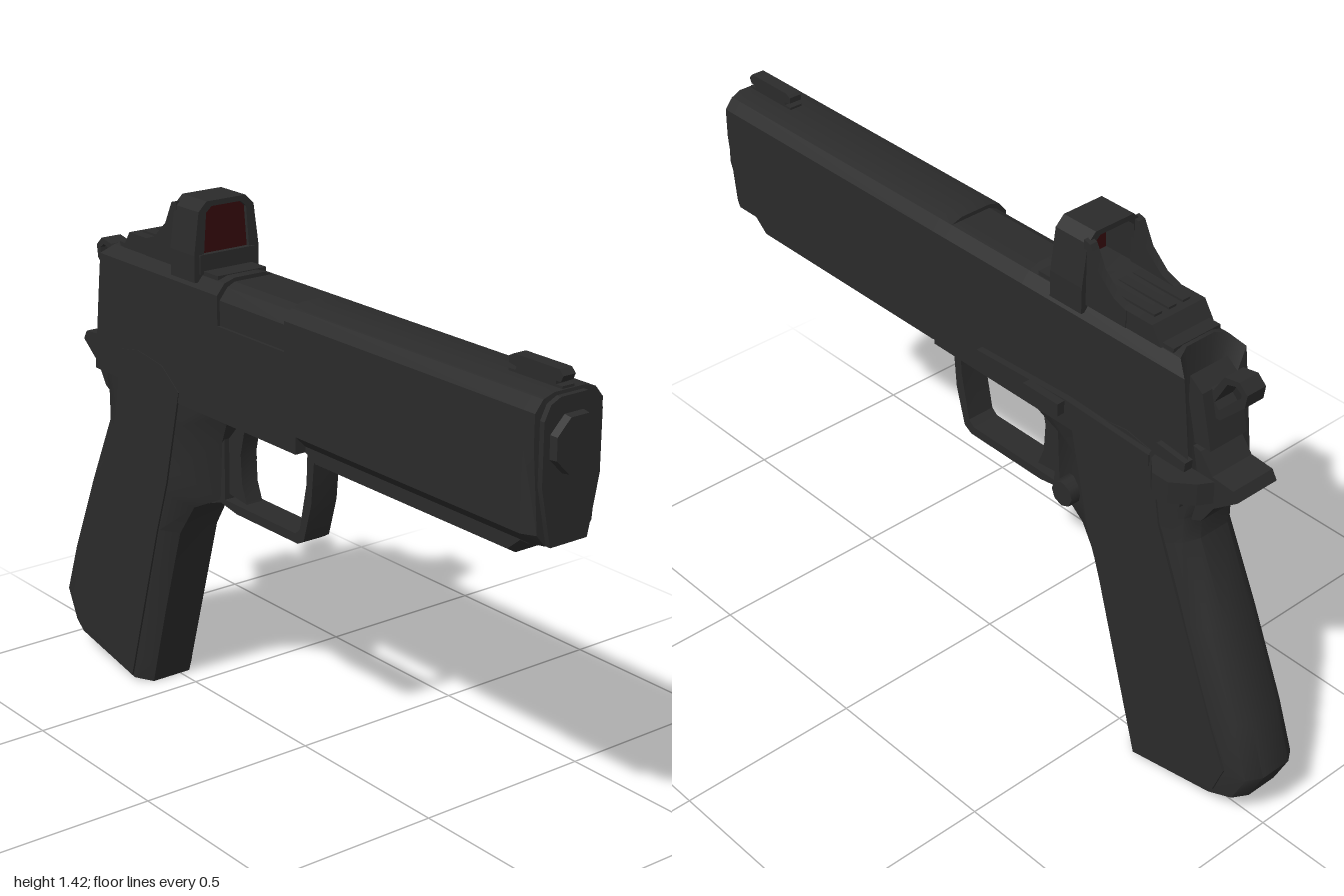
import * as THREE from 'three';
import { toCreasedNormals } from 'three/addons/utils/BufferGeometryUtils.js';

const metal = new THREE.MeshStandardMaterial({ color: 0x2b2b2b });
metal.name = 'dark metal';
const lensRed = new THREE.MeshStandardMaterial({ color: 0x360a0d, side: THREE.DoubleSide });
lensRed.name = 'lens red';

const shapeOf = (pts) => new THREE.Shape(pts.map((p) => new THREE.Vector2(...p)));

export function createModel() {
  const model = new THREE.Group();
  const body = new THREE.Group();
  body.name = 'pistol';
  body.position.z = 0.03;
  model.add(body);

  const add = (name, geometry, material = metal) => {
    const mesh = new THREE.Mesh(geometry, material);
    mesh.name = name;
    body.add(mesh);
    return mesh;
  };
  const box = (name, x0, x1, y0, y1, z0, z1) => add(name,
    new THREE.BoxGeometry(x1 - x0, y1 - y0, z1 - z0).translate((x0 + x1) / 2, (y0 + y1) / 2, (z0 + z1) / 2));

  // Side profile (x, y) extruded from z0 to z1
  const prism = (name, pts, z0, z1, hole) => {
    const shape = shapeOf(pts);
    if (hole) shape.holes.push(new THREE.Path(hole.map((p) => new THREE.Vector2(...p))));
    const g = new THREE.ExtrudeGeometry(shape, { depth: z1 - z0, bevelEnabled: false }).translate(0, 0, z0);
    return add(name, toCreasedNormals(g, 0.5));
  };

  // Skin between cross-section rings, with closed ends
  const loft = (name, rings, crease = 0.5) => {
    const n = rings[0].length, idx = [];
    rings.slice(1).forEach((_, i) => {
      for (let j = 0; j < n; j++) {
        const a = i * n + j, b = i * n + (j + 1) % n;
        idx.push(a, b, b + n, a, b + n, a + n);
      }
    });
    const last = (rings.length - 1) * n;
    for (let j = 1; j < n - 1; j++) idx.push(0, j + 1, j, last, last + j, last + j + 1);
    const g = new THREE.BufferGeometry();
    g.setAttribute('position', new THREE.Float32BufferAttribute(rings.flat(2), 3));
    g.setIndex(idx);
    return add(name, toCreasedNormals(g, crease));
  };

  // Ring across the barrel axis from half-section points (z, y), listed bottom to top
  const ringX = (x, left, right = left) => [
    ...left.map(([z, y]) => [x, y, -z]),
    ...right.slice().reverse().map(([z, y]) => [x, y, z]),
  ];

  // Slide: full section, port cut-out, bevelled underside and tapered nose
  const section = (low, port) => [
    low ? [0.07, 0.905] : [0.1, 0.89],
    low ? [0.1, 0.935] : [0.1, 0.9],
    [0.1, 1.14],
    port ? [0.092, 1.14] : [0.1, 1.14],
    port ? [0.092, 1.205] : [0.1, 1.218],
    port ? [0.068, 1.235] : [0.077, 1.246],
    port ? [0.045, 1.246] : [0.045, 1.256],
  ];
  const nose = [[0.055, 0.905], [0.062, 0.935], [0.086, 1.05], [0.086, 1.14], [0.086, 1.2], [0.068, 1.235], [0.04, 1.248]];
  const flank = section(false, false);
  const rear = ringX(-0.7, flank).map(([, y, z]) => [y > 1.21 ? -0.72 + (y - 1.218) * 1.3 : -0.76 + (y - 0.89) * 0.12, y, z]);
  const portTop = flank.slice(0, 6).concat([[0.045, 1.246]]);
  loft('slide', [
    rear,
    ringX(-0.19, flank),
    ringX(-0.19, portTop, section(false, true)),
    ringX(0.085, portTop, section(false, true)),
    ringX(0.085, flank),
    ringX(0.13, flank),
    ringX(0.13, section(true, false)),
    ringX(0.93, section(true, false)),
    ringX(0.965, section(true, false).map(([z, y]) => [y < 1 ? z * 0.82 : z, y])),
    ringX(0.966, nose),
    ringX(0.98, nose),
  ], 0.4);

  // Muzzle bushing
  add('muzzle', toCreasedNormals(
    new THREE.CylinderGeometry(0.07, 0.075, 0.03, 8).rotateY(Math.PI / 8).rotateZ(-Math.PI / 2), 0.4)
    .translate(0.985, 1.14, 0));

  // Rail under the barrel
  const rail = (dy) => [[0.045, 0.855 + dy], [0.07, 0.87 + dy], [0.07, 0.91]];
  loft('underRail', [ringX(0.13, rail(0.02)), ringX(0.17, rail(0)), ringX(0.86, rail(0)), ringX(0.9, rail(0.033))]);

  // Grip: chamfered sections from base to frame
  // [back x, back y, front x, front y, front half-width, front bevel length]
  const gripSections = [
    [-0.96, 0.085, -0.575, 0.01, 0.06, 0.04],
    [-1.0, 0.17, -0.555, 0.08, 0.06, 0.045],
    [-0.95, 0.31, -0.51, 0.24, 0.06, 0.045],
    [-0.85, 0.54, -0.43, 0.5, 0.06, 0.045],
    [-0.75, 0.76, -0.37, 0.59, 0.055, 0.06],
    [-0.75, 0.83, -0.27, 0.64, 0.04, 0.14],
    [-0.76, 0.87, -0.26, 0.8, 0.04, 0.13],
    [-0.76, 0.93, -0.16, 0.91, 0.09, 0.1],
  ];
  loft('grip', gripSections.map(([xb, yb, xf, yf, wf, bevel]) => {
    const p = (x, z) => [x, yb + (yf - yb) * (x - xb) / (xf - xb), z];
    const half = [[xf, wf], [xf - bevel, 0.097], [xb + 0.085, 0.097], [xb + 0.025, 0.08], [xb, 0.045]];
    return [...half.map(([x, z]) => p(x, -z)), ...half.reverse().map(([x, z]) => p(x, z))];
  }), 0.7);

  // Grip panels on both sides
  const panel = [[-0.92, 0.17], [-0.89, 0.09], [-0.8, 0.085], [-0.62, 0.025], [-0.48, 0.5], [-0.43, 0.65],
    [-0.365, 0.92], [-0.44, 0.975], [-0.55, 0.99], [-0.63, 0.975], [-0.665, 0.78], [-0.87, 0.28]];
  for (const s of [-1, 1]) prism('gripPanel', panel, s * 0.0985 - 0.0035, s * 0.0985 + 0.0035);

  // Trigger guard and trigger
  prism('triggerGuard',
    [[-0.36, 0.6], [-0.27, 0.632], [-0.2, 0.62], [0.06, 0.62], [0.085, 0.635], [0.115, 0.74], [0.13, 0.9], [-0.36, 0.9]],
    -0.04, 0.04,
    [[-0.25, 0.885], [-0.25, 0.645], [0.05, 0.645], [0.068, 0.66], [0.096, 0.79], [0.1, 0.885]]);
  prism('trigger',
    [[-0.27, 0.895], [-0.27, 0.66], [-0.175, 0.65], [-0.195, 0.7], [-0.2, 0.78], [-0.185, 0.84], [-0.155, 0.895]],
    -0.025, 0.025);

  // Beavertail and hammer
  prism('beavertail',
    [[-0.7, 1.03], [-0.75, 1.02], [-0.79, 0.97], [-0.855, 0.965], [-0.87, 0.94], [-0.8, 0.885], [-0.765, 0.83], [-0.7, 0.8]],
    -0.065, 0.065);
  prism('hammer',
    [[-0.7, 1.1], [-0.71, 1.18], [-0.745, 1.17], [-0.775, 1.22], [-0.82, 1.228], [-0.845, 1.205], [-0.84, 1.17], [-0.77, 1.1]],
    -0.03, 0.03,
    [[-0.765, 1.125], [-0.825, 1.175], [-0.828, 1.2], [-0.81, 1.212], [-0.785, 1.205], [-0.75, 1.14]]);
  prism('firingPinPlate', [[-0.7, 1.03], [-0.7, 1.2], [-0.74, 1.17], [-0.775, 1.03]], -0.06, 0.06);

  // Safety lever, slide stop and magazine button on the far side
  const safety = new THREE.ExtrudeGeometry(
    shapeOf([[-0.82, 0.09], [-0.65, 0.09], [-0.66, 0.13], [-0.7, 0.168], [-0.75, 0.168], [-0.8, 0.125]]),
    { depth: 0.06, bevelEnabled: false });
  add('safetyLever', safety.rotateX(-Math.PI / 2).translate(0, 0.925, 0));
  prism('safetyPlate', [[-0.74, 0.88], [-0.66, 0.86], [-0.62, 0.94], [-0.66, 1.02], [-0.75, 1.01]], -0.115, -0.09);
  prism('slideStop', [[-0.64, 0.945], [-0.36, 0.93], [-0.05, 0.92], [-0.05, 0.97], [-0.36, 0.985], [-0.64, 0.975]], -0.118, -0.09);
  box('slideStopPad', -0.36, -0.24, 0.945, 0.98, -0.14, -0.1);
  add('magazineButton', new THREE.CylinderGeometry(0.035, 0.035, 0.06, 8).rotateX(Math.PI / 2).translate(-0.36, 0.705, -0.09));

  // Front sight
  box('frontSightBase', 0.79, 0.96, 1.245, 1.262, -0.018, 0.018);
  prism('frontSight',
    [[0.81, 1.255], [0.815, 1.27], [0.79, 1.275], [0.79, 1.29], [0.805, 1.298], [0.95, 1.298], [0.962, 1.285],
      [0.955, 1.27], [0.94, 1.27], [0.94, 1.255]], -0.018, 0.018);

  // Reflex sight: mount, base, hood with window, side walls and lens
  box('sightMount', -0.66, -0.22, 1.23, 1.258, -0.075, 0.075);
  prism('sightBase', [[-0.63, 1.25], [-0.28, 1.25], [-0.28, 1.3], [-0.4, 1.3], [-0.51, 1.296], [-0.6, 1.296]], -0.085, 0.085);
  for (const y of [-0.045, 0, 0.045]) box('baseRidge', -0.58, -0.42, 1.29, 1.302, y - 0.012, y + 0.012);
  const hood = shapeOf([[-0.1, 1.23], [0.1, 1.23], [0.1, 1.3], [0.085, 1.41], [0.06, 1.434], [-0.06, 1.434], [-0.085, 1.41], [-0.1, 1.3]]);
  const opening = [[-0.07, 1.3], [-0.062, 1.405], [-0.045, 1.42], [0.045, 1.42], [0.062, 1.405], [0.07, 1.3]];
  hood.holes.push(new THREE.Path(opening.map((p) => new THREE.Vector2(...p))));
  add('sightHood', new THREE.ExtrudeGeometry(hood, { depth: 0.105, bevelEnabled: false })
    .rotateY(Math.PI / 2).translate(-0.39, 0, 0));
  add('sightLens', new THREE.ShapeGeometry(shapeOf(opening)).rotateY(Math.PI / 2).translate(-0.295, 0, 0), lensRed);
  const wall = [[-0.52, 1.25], [-0.38, 1.25], [-0.38, 1.42], [-0.4, 1.415], [-0.43, 1.355], [-0.48, 1.31], [-0.52, 1.296]];
  for (const s of [-1, 1]) prism('sightWall', wall, s * 0.076 - 0.011, s * 0.076 + 0.011);

  return model;
}
